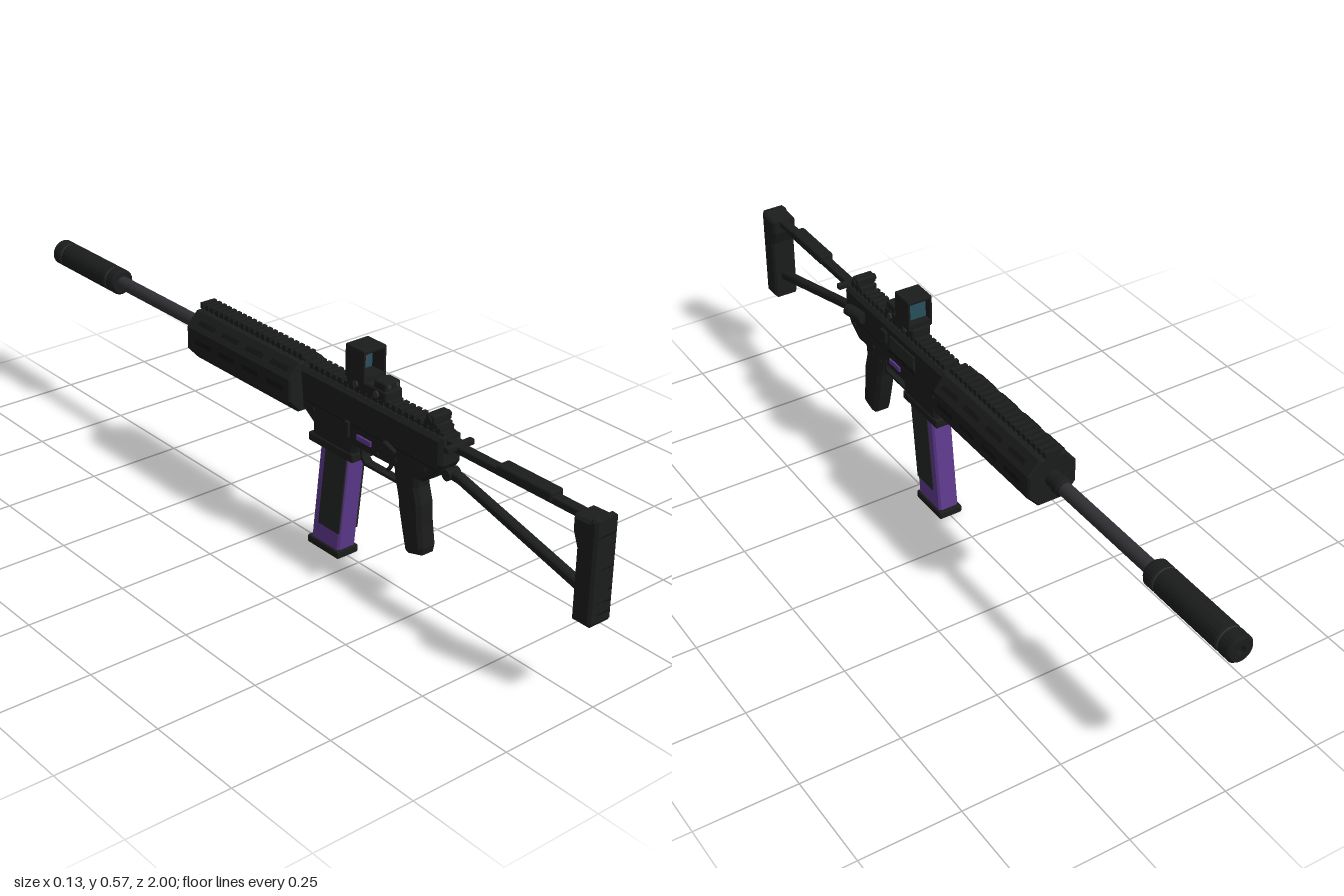
import * as THREE from 'three';
import { RoundedBoxGeometry } from 'three/addons/geometries/RoundedBoxGeometry.js';

const mat = (color) => new THREE.MeshStandardMaterial({ color });
const black = mat(0x1b1c1c), dark = mat(0x111212), steel = mat(0x303034);
const panelGrey = mat(0x232424), purple = mat(0x5e3a8e), red = mat(0xc03028);
const glass = mat(0x28505c);
glass.side = THREE.DoubleSide;

export function createModel() {
  const model = new THREE.Group();

  const add = (name, geo, material = black, x = 0, y = 0, z = 0) => {
    const mesh = new THREE.Mesh(geo, material);
    mesh.name = name;
    mesh.position.set(x, y, z);
    model.add(mesh);
    return mesh;
  };

  // Box given by its limits in y and z and its width in x
  const block = (name, w, y0, y1, z0, z1, material = black, x = 0, r = 0) => {
    const size = [w, y1 - y0, z1 - z0];
    const geo = r ? new RoundedBoxGeometry(...size, 2, r) : new THREE.BoxGeometry(...size);
    return add(name, geo, material, x, (y0 + y1) / 2, (z0 + z1) / 2);
  };

  // Side profile of [z, y] points, extruded across x with chamfered edges
  const profile = (name, pts, w, bevel = 0.006, material = black, x = 0, holes = []) => {
    const v = (list) => list.map(([z, y]) => new THREE.Vector2(-z, y));
    const shape = new THREE.Shape(v(pts));
    holes.forEach((h) => shape.holes.push(new THREE.Path(v(h))));
    const depth = w - 2 * bevel;
    const geo = new THREE.ExtrudeGeometry(shape, {
      depth, bevelEnabled: bevel > 0, bevelThickness: bevel, bevelSize: bevel,
      bevelOffset: -bevel, bevelSegments: 1,
    });
    geo.translate(0, 0, -depth / 2).rotateY(Math.PI / 2);
    return add(name, geo, material, x);
  };

  // Turned part along z from [radius, z] points
  const turned = (name, pts, y, material = black, x = 0, sides = 24) => {
    const geo = new THREE.LatheGeometry(pts.map(([r, z]) => new THREE.Vector2(r, z)), sides);
    geo.rotateX(Math.PI / 2);
    const m = material.clone();
    m.flatShading = true;
    m.side = THREE.DoubleSide;
    return add(name, geo, m, x, y);
  };

  // Short pin along x
  const pin = (name, r, len, x, y, z, material = black) =>
    add(name, new THREE.CylinderGeometry(r, r, len, 16).rotateZ(Math.PI / 2), material, x, y, z);

  // Accessory rail with cross teeth
  const rail = (name, y, z0, z1) => {
    block(name, 0.036, y - 0.006, y + 0.006, z0, z1);
    const count = Math.round((z1 - z0) / 0.0205);
    const step = (z1 - z0) / count;
    for (let i = 0; i < count; i++) {
      const z = z0 + i * step;
      block(name + 'Tooth', 0.042, y, y + 0.015, z, z + step * 0.55);
    }
  };

  // Receiver
  profile('receiver', [
    [0.548, 0.452], [0.548, 0.385], [0.525, 0.35], [0.485, 0.322], [0.265, 0.32], [0.255, 0.282],
    [0.11, 0.282], [0.113, 0.325], [0.075, 0.35], [0.065, 0.452],
  ], 0.066, 0.009);
  rail('receiverRail', 0.452, 0.09, 0.54);
  block('magazineWell', 0.072, 0.278, 0.3, 0.104, 0.262, black, 0, 0.004);
  block('ejectionPort', 0.004, 0.39, 0.427, 0.205, 0.32, panelGrey, 0.034);
  block('portHinge', 0.006, 0.383, 0.39, 0.2, 0.325, dark, 0.034);
  block('shellDeflector', 0.012, 0.395, 0.43, 0.335, 0.36, black, 0.034, 0.003);
  for (const s of [1, -1]) {
    block('receiverSeam', 0.002, 0.374, 0.378, 0.09, 0.53, dark, s * 0.0328);
    block('fireSelector', 0.006, 0.345, 0.359, 0.275, 0.325, purple, s * 0.034, 0.002);
    for (const [z, y] of [[0.5, 0.36], [0.405, 0.345], [0.345, 0.335], [0.12, 0.36]])
      pin('receiverPin', 0.006, 0.005, s * 0.033, y, z);
  }
  block('boltCatch', 0.014, 0.34, 0.38, 0.235, 0.25, black, -0.033, 0.003);
  const lever = block('safetyLever', 0.012, 0.367, 0.378, 0.37, 0.41, black, -0.038, 0.003);
  lever.rotation.x = 0.3;

  // Forward assist and charging handle
  const assist = add('forwardAssist', new THREE.CylinderGeometry(0.015, 0.015, 0.06, 16).rotateX(Math.PI / 2),
    black, 0.043, 0.41, 0.475);
  assist.rotation.y = 0.2;
  block('chargingHandle', 0.08, 0.43, 0.445, 0.562, 0.578, black, 0, 0.004);
  block('chargingHandleStem', 0.03, 0.43, 0.445, 0.52, 0.565);

  // Octagonal handguard
  const octagon = [[0.035, 0.335], [0.065, 0.368], [0.065, 0.425], [0.035, 0.461],
    [-0.035, 0.461], [-0.065, 0.425], [-0.065, 0.368], [-0.035, 0.335]];
  const oct = new THREE.Shape(octagon.map(([x, y]) => new THREE.Vector2(x, y)));
  add('handguard', new THREE.ExtrudeGeometry(oct, {
    depth: 0.395, bevelThickness: 0.005, bevelSize: 0.004, bevelOffset: -0.004, bevelSegments: 1,
  }), black, 0, 0, -0.33);
  rail('handguardRail', 0.461, -0.335, 0.07);
  // Cooling slots on the side, lower and slanted faces
  for (let i = 0; i < 4; i++) {
    const z = 0.015 - i * 0.094;
    for (const s of [1, -1]) {
      block('sideSlot', 0.002, 0.389, 0.403, z - 0.032, z + 0.032, dark, s * 0.0645);
      for (const [y, a] of [[0.3515, -0.83], [0.443, 0.88]]) {
        const slot = block('slantedSlot', 0.002, y - 0.008, y + 0.008, z - 0.032, z + 0.032, dark, s * 0.0497);
        slot.rotation.z = s * a;
      }
    }
    block('lowerSlot', 0.016, 0.3345, 0.336, z - 0.032, z + 0.032, dark);
  }

  // Barrel and suppressor
  turned('barrel', [[0, -0.74], [0.0175, -0.74], [0.0175, -0.3], [0, -0.3]], 0.402, steel);
  turned('gasBlock', [[0, -0.385], [0.018, -0.385], [0.023, -0.378], [0.023, -0.36], [0.02, -0.355],
    [0.02, -0.33], [0, -0.33]], 0.402);
  turned('suppressor', [[0, -0.985], [0.011, -0.985], [0.011, -1], [0.029, -1], [0.034, -0.994],
    [0.034, -0.966], [0.031, -0.964], [0.031, -0.957], [0.034, -0.955], [0.034, -0.752],
    [0.031, -0.75], [0.031, -0.743], [0.034, -0.741], [0.034, -0.717], [0.029, -0.71], [0, -0.71]], 0.402);
  for (const z of [-0.9605, -0.7465])
    add('suppressorRing', new THREE.TorusGeometry(0.0305, 0.0025, 6, 24), steel, 0, 0.402, z);

  // Pistol grip
  profile('pistolGrip', [
    [0.468, 0.335], [0.464, 0.295], [0.476, 0.255], [0.48, 0.2], [0.488, 0.15], [0.484, 0.132],
    [0.44, 0.119], [0.43, 0.126], [0.416, 0.18], [0.405, 0.225], [0.402, 0.25], [0.388, 0.3], [0.385, 0.335],
  ], 0.05, 0.009);

  // Trigger and guard
  profile('triggerGuard', [[0.395, 0.325], [0.395, 0.272], [0.275, 0.272], [0.258, 0.29], [0.258, 0.325]],
    0.022, 0, black, 0, [[[0.386, 0.32], [0.386, 0.279], [0.279, 0.279], [0.267, 0.292], [0.267, 0.32]]]);
  const curve = new THREE.CatmullRomCurve3([[0.33, 0.345], [0.352, 0.315], [0.355, 0.3], [0.345, 0.286]]
    .map(([y, z]) => new THREE.Vector3(0, z, y)));
  add('trigger', new THREE.TubeGeometry(curve, 10, 0.005, 8));

  // Slanted magazine with grip panels and base plate
  profile('magazine', [[0.238, 0.29], [0.205, 0.015], [0.106, 0.015], [0.139, 0.29]], 0.054, 0.005, purple);
  for (const s of [1, -1])
    profile('magazinePanel', [[0.234, 0.276], [0.209, 0.068], [0.135, 0.068], [0.16, 0.276]],
      0.004, 0, panelGrey, s * 0.0275);
  block('magazineBase', 0.064, 0, 0.021, 0.097, 0.211, black, 0, 0.005);

  // Skeleton stock
  profile('buttPlate', [[1, 0.448], [0.985, 0.45], [0.98, 0.443], [0.935, 0.441], [0.935, 0.405],
    [0.948, 0.37], [0.948, 0.202], [0.996, 0.202], [1, 0.21]], 0.066, 0.006);
  for (let i = 0; i < 8; i++)
    block('buttGroove', 0.05, 0.225 + i * 0.026, 0.23 + i * 0.026, 0.992, 1, dark);
  block('upperStrut', 0.026, 0.423, 0.441, 0.53, 0.95, black, 0, 0.004);
  block('cheekRest', 0.038, 0.428, 0.452, 0.7, 0.86, black, 0, 0.005);
  profile('lowerStrut', [[0.96, 0.25], [0.96, 0.273], [0.58, 0.372], [0.53, 0.372], [0.53, 0.354], [0.58, 0.351]],
    0.024, 0.004);
  pin('strutHinge', 0.013, 0.034, 0, 0.362, 0.55);

  // Rear sight
  block('rearSightBase', 0.046, 0.462, 0.474, 0.48, 0.525, black, 0, 0.003);
  block('rearSight', 0.054, 0.472, 0.493, 0.49, 0.518, black, 0, 0.005);
  pin('rearSightKnob', 0.008, 0.062, 0, 0.481, 0.504);

  // Reflex sight: base, emitter, hood and window
  block('sightBase', 0.052, 0.462, 0.49, 0.225, 0.36, black, 0, 0.006);
  block('sightEmitter', 0.046, 0.485, 0.508, 0.315, 0.355, black, 0, 0.005);
  for (const s of [1, -1]) {
    block('hoodSide', 0.006, 0.487, 0.562, 0.23, 0.294, black, s * 0.03, 0.002);
    pin('sightScrew', 0.008, 0.006, s * 0.027, 0.477, 0.26, steel);
    pin('sightScrew', 0.008, 0.006, s * 0.027, 0.477, 0.33, steel);
    const dial = add('emitterDial', new THREE.CylinderGeometry(0.005, 0.005, 0.003, 12), steel, s * 0.012, 0.499, 0.356);
    dial.rotation.x = Math.PI / 2;
  }
  block('hoodTop', 0.066, 0.558, 0.568, 0.23, 0.294, black, 0, 0.003);
  block('hoodFloor', 0.058, 0.486, 0.503, 0.23, 0.294);
  block('lens', 0.054, 0.5, 0.554, 0.25, 0.253, glass);
  // Reticle
  add('reticleDot', new THREE.CircleGeometry(0.0025, 10), red, 0, 0.524, 0.2536);
  for (let i = 0; i < 8; i++) {
    const a = (i * Math.PI) / 4;
    add('reticleMark', new THREE.CircleGeometry(0.0016, 8), red,
      0.013 * Math.cos(a), 0.524 + 0.009 * Math.sin(a), 0.2536);
  }
  return model;
}
